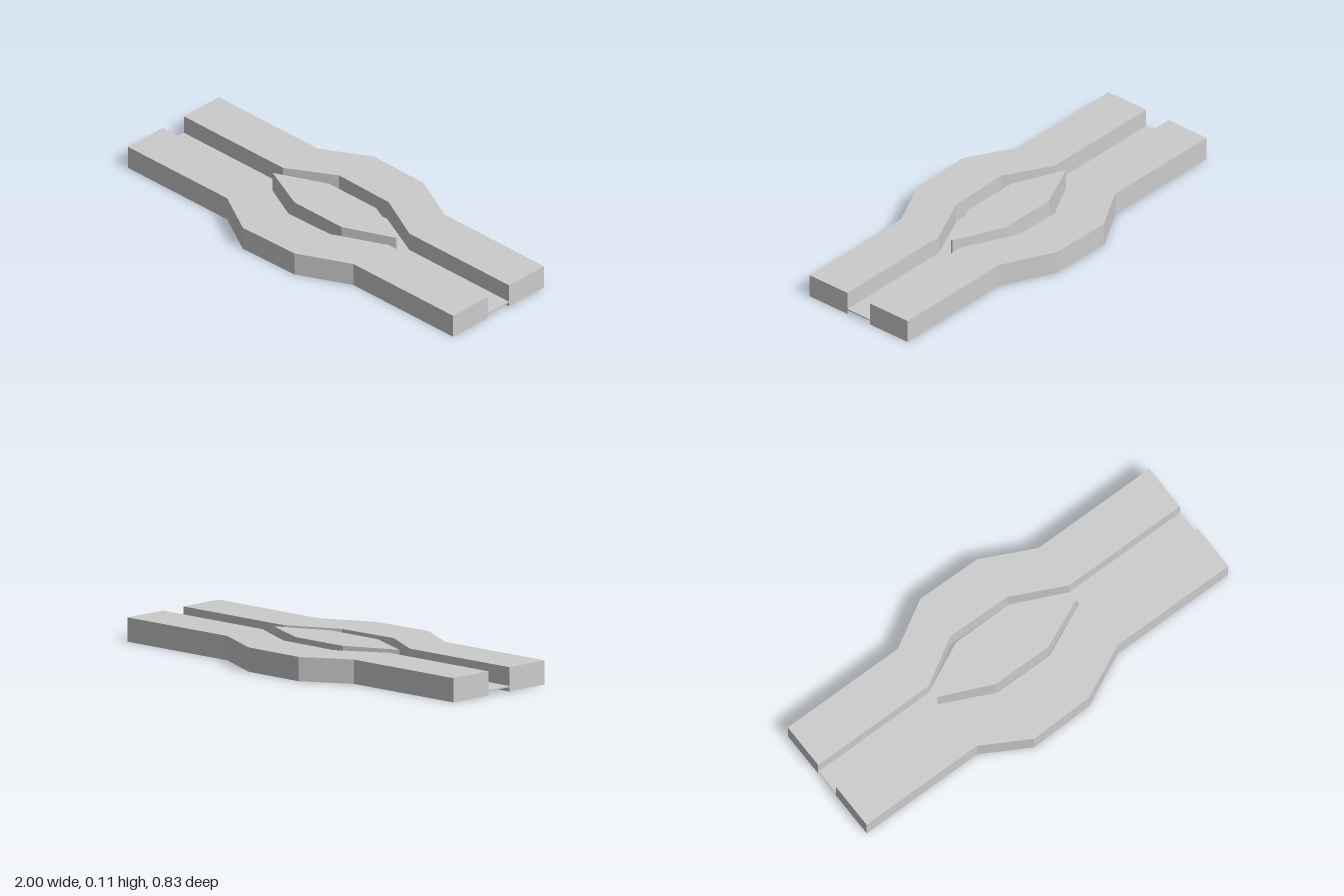
import * as THREE from 'three';

const material = new THREE.MeshStandardMaterial({ color: 0xcccccc, flatShading: true });

// Slab from a plan outline of [x, z] points, between two heights
function slab(name, outline, bottom, top, hole) {
  const toPoints = (list) => list.map(([x, z]) => new THREE.Vector2(x, z));
  const shape = new THREE.Shape(toPoints(outline));
  if (hole) shape.holes.push(new THREE.Path(toPoints(hole)));
  const geometry = new THREE.ExtrudeGeometry(shape, { depth: top - bottom, bevelEnabled: false });
  geometry.rotateX(Math.PI / 2).translate(0, top, 0);
  const mesh = new THREE.Mesh(geometry, material);
  mesh.name = name;
  return mesh;
}

// Edge that runs straight, swells around the middle and returns
const edge = (end, bulgeLeft, bulgeRight, xLeft = -0.17) => [
  [-1, end], [-0.39, end], [xLeft, bulgeLeft], [0.14, bulgeRight], [0.388, end], [1, end],
];
const band = (a, b) => [...a, ...b.reverse()];

export function createModel() {
  const group = new THREE.Group();
  group.name = 'forkedChannel';

  // Banks on either side of the channel
  group.add(slab('backBank', band(edge(-0.288, -0.414, -0.41), edge(-0.067, -0.195, -0.189)), 0, 0.109));
  group.add(slab('frontBank', band(edge(0.285, 0.411, 0.404), edge(0.064, 0.188, 0.18)), 0, 0.109));

  // Thin channel floor that splits around the island
  const floorHole = [
    [-0.393, 0], [-0.148, -0.129], [0.14, -0.129], [0.387, -0.006],
    [0.387, 0.004], [0.14, 0.118], [-0.15, 0.116],
  ];
  group.add(slab('channelFloor',
    band(edge(-0.066, -0.181, -0.181, -0.15), edge(0.064, 0.176, 0.176, -0.15)),
    0.019, 0.025, floorHole));

  // Pointed island in the middle of the channel
  group.add(slab('island', [
    [-0.39, -0.001], [-0.148, -0.111], [0.14, -0.111], [0.375, -0.006],
    [0.375, 0.004], [0.14, 0.108], [-0.15, 0.106],
  ], 0.001, 0.113));

  return group;
}
